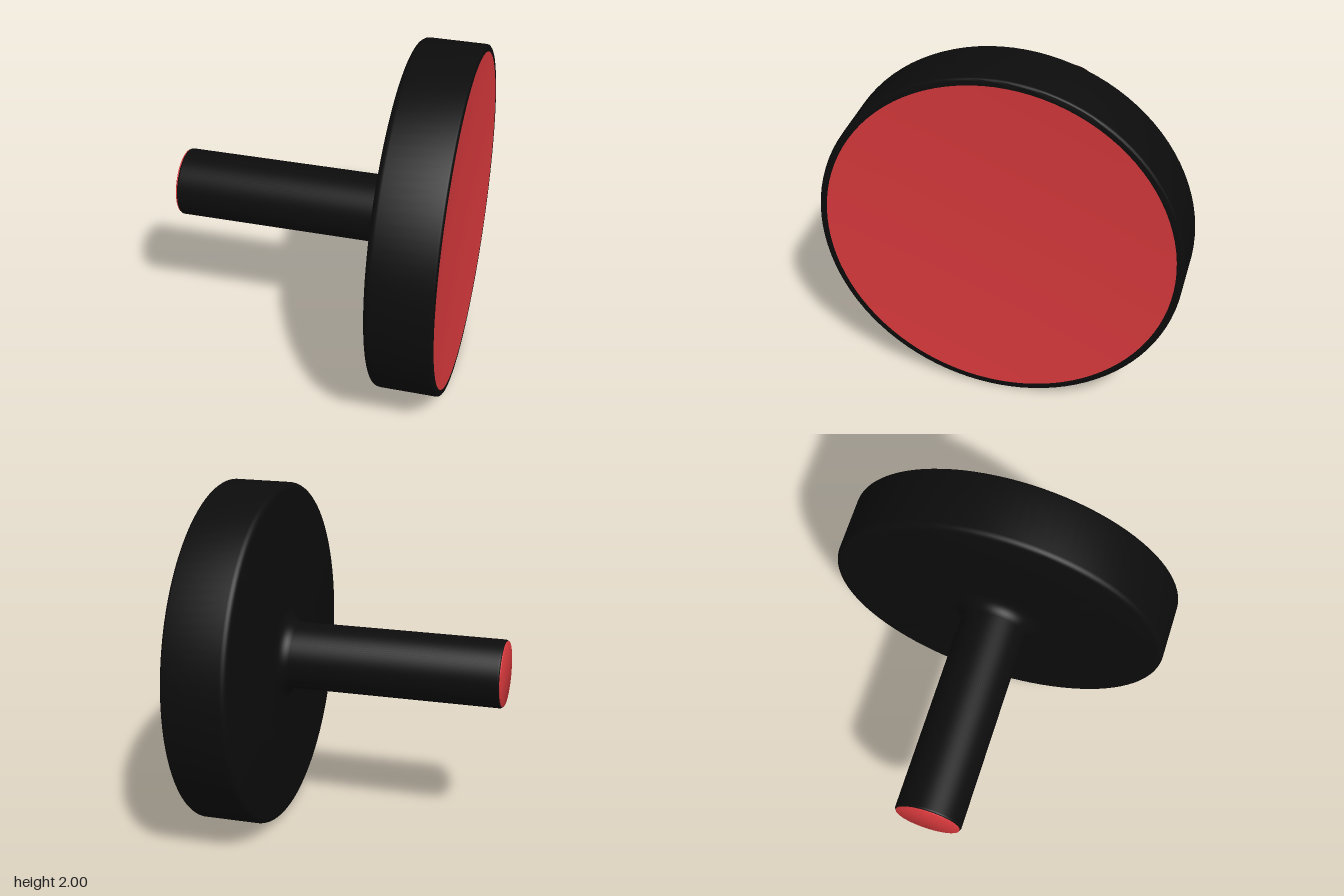
import * as THREE from 'three';
import { toCreasedNormals } from 'three/addons/utils/BufferGeometryUtils.js';

const SEGMENTS = 96;

// Points along an arc in (radius, height), angles in degrees
function arc(cx, cy, rx, ry, from, to, steps = 6) {
  return Array.from({ length: steps + 1 }, (_, i) => {
    const a = THREE.MathUtils.degToRad(from + ((to - from) * i) / steps);
    return [cx + rx * Math.cos(a), cy + ry * Math.sin(a)];
  });
}

function lathe(name, profile, color) {
  const points = profile.map(([r, h]) => new THREE.Vector2(r, h));
  const geometry = toCreasedNormals(new THREE.LatheGeometry(points, SEGMENTS), 0.6);
  const mesh = new THREE.Mesh(geometry, new THREE.MeshStandardMaterial({ color }));
  mesh.name = name;
  return mesh;
}

export function createModel() {
  const group = new THREE.Group();
  const black = 0x0c0c0c;
  const red = 0xd8393c;

  // Shaft, fillet and thick disc turned as one body
  const body = lathe('body', [
    [0.186, -0.832],
    ...arc(0.183, -0.82, 0.012, 0.012, -60, 0, 3),
    [0.195, 0.38],
    ...arc(0.275, 0.38, 0.08, 0.075, 180, 90, 8),
    [0.5, 0.457],
    ...arc(0.965, 0.5, 0.035, 0.036, -90, 0),
    ...arc(0.985, 0.82, 0.015, 0.015, 0, 90, 4),
    [0.96, 0.835],
  ], black);

  // Shallow concave face set into the rim of the disc
  const dish = [];
  for (let i = 0; i <= 12; i++) {
    const t = 1 - i / 12;
    dish.push([0.96 * t, 0.805 + 0.03 * t * t]);
  }
  const discFace = lathe('discFace', dish, red);

  // Thin coloured cap on the shaft end
  const shaftCap = lathe('shaftCap', [
    [0, -0.84],
    [0.182, -0.84],
    [0.187, -0.837],
    [0.187, -0.83],
  ], red);

  group.add(body, discFace, shaftCap);

  // Lay the turning axis along x at mid height
  for (const mesh of group.children) {
    mesh.rotation.z = -Math.PI / 2;
    mesh.position.y = 1;
  }
  return group;
}
